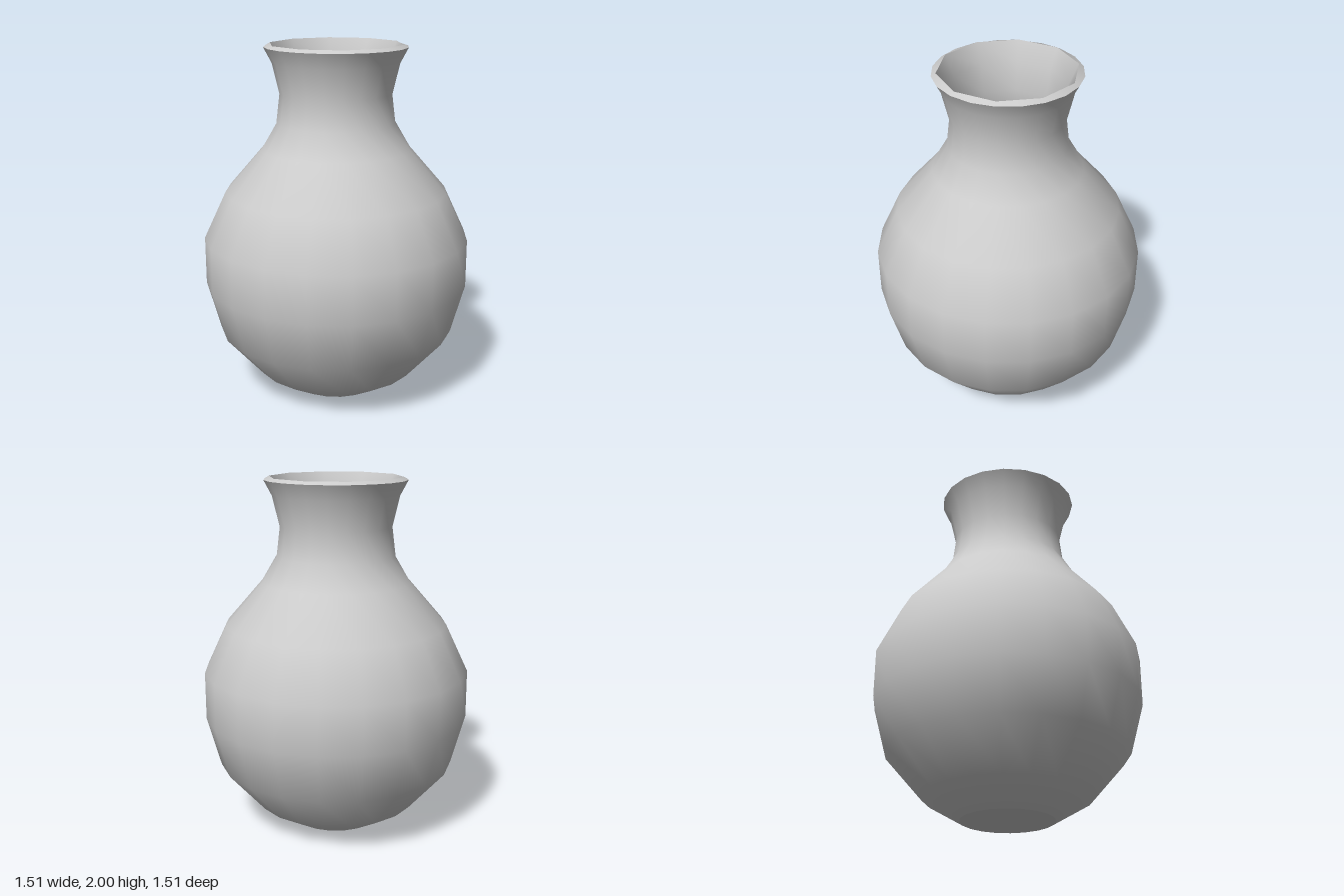
import * as THREE from 'three';

const OUTER_SIDES = 20;
const INNER_SIDES = 10;

// [radius, height] from foot to lip
const OUTER = [
  [0.26, 0], [0.465, 0.12], [0.675, 0.36], [0.753, 0.645], [0.753, 0.915], [0.628, 1.18],
  [0.42, 1.42], [0.335, 1.565], [0.315, 1.73], [0.355, 1.9], [0.4, 1.985],
];
const INNER = [
  [0.25, 0.03], [0.445, 0.14], [0.65, 0.37], [0.725, 0.65], [0.725, 0.905], [0.605, 1.165],
  [0.395, 1.41], [0.31, 1.56], [0.3, 1.73], [0.325, 1.89], [0.375, 2.0],
];

export function createModel() {
  const group = new THREE.Group();
  group.name = 'vase';
  const material = new THREE.MeshStandardMaterial({ color: 0xcccccc });

  const add = (name, geometry) => {
    const mesh = new THREE.Mesh(geometry, material);
    mesh.name = name;
    group.add(mesh);
    return mesh;
  };
  const lathe = (profile, sides) =>
    new THREE.LatheGeometry(profile.map(([r, y]) => new THREE.Vector2(r, y)), sides);

  // Outer wall, and inner wall with its profile reversed so it faces inward
  add('outerWall', lathe(OUTER, OUTER_SIDES));
  add('innerWall', lathe([...INNER].reverse(), INNER_SIDES));

  // Rim: odd inner corners are pulled onto the straight edges of the ten-sided mouth
  const rim = lathe([OUTER.at(-1), INNER.at(-1)], OUTER_SIDES);
  const pos = rim.attributes.position;
  const pull = Math.cos(Math.PI / INNER_SIDES);
  for (let i = 1; i < OUTER_SIDES; i += 2) {
    const v = i * 2 + 1;
    pos.setX(v, pos.getX(v) * pull);
    pos.setZ(v, pos.getZ(v) * pull);
  }
  add('rim', rim);

  // Underside of the foot
  add('base', new THREE.CircleGeometry(OUTER[0][0], OUTER_SIDES).rotateX(Math.PI / 2));

  // Inside floor
  const floor = new THREE.CircleGeometry(INNER[0][0], INNER_SIDES, Math.PI / 2);
  add('floor', floor.rotateX(-Math.PI / 2)).position.y = INNER[0][1];

  return group;
}
